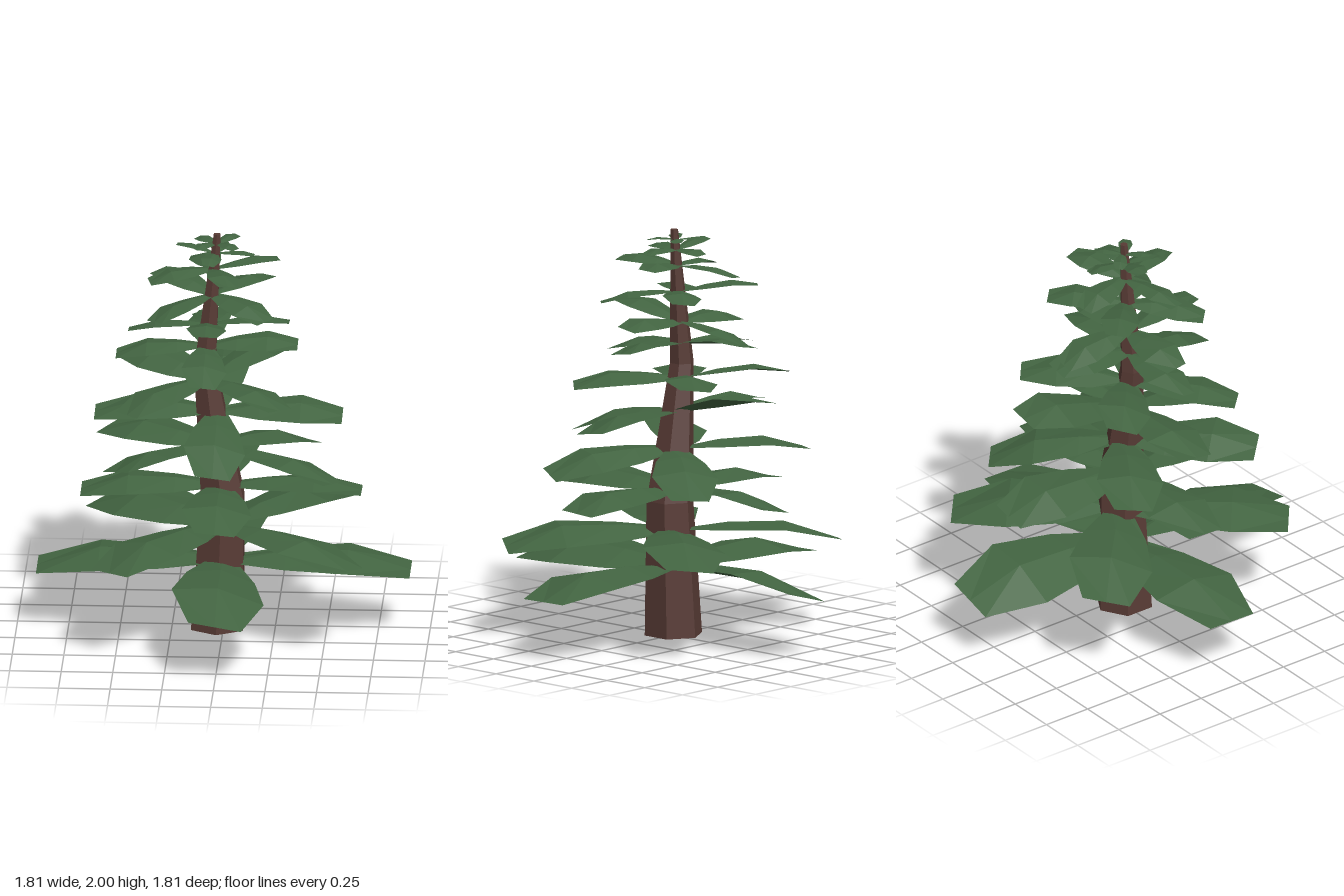
import * as THREE from 'three';

// Trunk rings from bottom to top: centre x, centre z, radius
const RINGS = [
  [-0.03, 0.02, 0.145],
  [-0.005, 0.02, 0.118],
  [-0.09, 0.02, 0.06],
  [-0.032, 0.016, 0.019],
];
const HEIGHT = 2;

function trunkAt(y) {
  const f = THREE.MathUtils.clamp((y / HEIGHT) * 3, 0, 3);
  const i = Math.min(2, Math.floor(f));
  return RINGS[i].map((v, k) => THREE.MathUtils.lerp(v, RINGS[i + 1][k], f - i));
}

// Tiers of four boughs: base height, first angle, reach, tip heights and rolls
// in the order +x, +z, -x, -z (turned by the first angle),
// then an optional sideways shift and extra turns
const TIERS = [
  [0.34, 0, 0.905, [0.30, 0.295, 0.295, 0.31], [-0.02, 0.17, 0.02, 0.28], 0.018],
  [0.52, 45, 0.815, [0.46, 0.47, 0.46, 0.48], [0.13, -0.05, 0.16, 0.1], 0, [-6, -6, -3, -4]],
  [0.72, 0, 0.68, [0.70, 0.69, 0.685, 0.705], [0.05, 0.1, 0.05, 0.22]],
  [0.92, 45, 0.65, [0.83, 0.925, 0.89, 0.79], [0.18, -0.22, 0.1, 0.05], 0, [-18, 1, -12, -4]],
  [1.10, 0, 0.60, [1.08, 0.95, 1.08, 1.23], [-0.15, 0.13, 0.12, 0.2], 0.035],
  [1.26, 45, 0.525, [1.225, 1.19, 1.28, 1.30], [0.1, 0, 0.22, 0.1], 0, [0, 0, -4, -5]],
  [1.43, 0, 0.44, [1.44, 1.355, 1.38, 1.47], [-0.15, 0.1, 0.08, 0.2]],
  [1.54, 0, 0.39, [1.555, 1.6, 1.505, 1.48], [0.15, 0.05, -0.15, 0.18]],
  [1.69, 44, 0.38, [1.64, 1.635, 1.72, 1.70], [-0.1, -0.1, 0.1, 0.1]],
  [1.82, -15, 0.32, [1.85, 1.83, 1.775, 1.79], [0.1, 0.1, 0.1, 0.15]],
  [1.90, 8, 0.19, [1.90, 1.895, 1.935, 1.90], [0.1, 0.15, -0.1, -0.1]],
  [1.95, 45, 0.14, [1.95, 1.95, 1.945, 1.96], [-0.1, 0.1, 0.15, -0.1]],
];

// Bough cross-sections: distance along, half width, arch, ridge (fractions of reach)
const SECTIONS = [
  [0, 0.06, 0, 0],
  [0.33, 0.185, 0.02, 0.045],
  [0.665, 0.25, 0.04, 0.05],
  [1, 0.143, 0, 0],
];

// Folded leaf pad: each cross-section has left edge, raised spine, right edge
function boughGeometry(baseY, angle, reach, tipY, roll) {
  const [cx, cz] = trunkAt(baseY);
  const c = Math.cos(angle), s = Math.sin(angle);
  const pos = [], index = [];
  SECTIONS.forEach(([t, w, arch, ridge], row) => {
    for (const side of [-1, 0, 1]) {
      const lateral = side * w * reach;
      const lift = (side === 0 ? arch + ridge : arch) * reach;
      const y = baseY + (tipY - baseY) * t + lift + lateral * Math.sin(roll);
      const d = t * reach, l = lateral * Math.cos(roll);
      pos.push(cx + c * d - s * l, y, cz - 0.01 + s * d + c * l);
    }
    if (row === 0) return;
    for (let k = 0; k < 2; k++) {
      const a = (row - 1) * 3 + k, b = a + 3;
      index.push(a, a + 1, b, a + 1, b + 1, b);
    }
  });
  const geo = new THREE.BufferGeometry();
  geo.setAttribute('position', new THREE.Float32BufferAttribute(pos, 3));
  geo.setIndex(index);
  geo.computeVertexNormals();
  return geo;
}

// Six-sided cylinder, bent and tapered ring by ring
function trunkGeometry() {
  const geo = new THREE.CylinderGeometry(1, 1, HEIGHT, 6, 3);
  geo.translate(0, HEIGHT / 2, 0);
  const p = geo.attributes.position;
  for (let i = 0; i < p.count; i++) {
    const [cx, cz, r] = trunkAt(p.getY(i));
    p.setXYZ(i, cx + p.getX(i) * r, p.getY(i), cz + p.getZ(i) * r);
  }
  geo.computeVertexNormals();
  return geo;
}

export function createModel() {
  const model = new THREE.Group();
  model.name = 'pineTree';
  const bark = new THREE.MeshStandardMaterial({ color: 0x583b35, flatShading: true });
  const needles = new THREE.MeshStandardMaterial({
    color: 0x426441, flatShading: true, side: THREE.DoubleSide,
  });

  const trunk = new THREE.Mesh(trunkGeometry(), bark);
  trunk.name = 'trunk';
  model.add(trunk);

  TIERS.forEach(([baseY, start, reach, tips, rolls, shift = 0, turns = [0, 0, 0, 0]], i) => {
    const tier = new THREE.Group();
    tier.name = `boughTier${i + 1}`;
    tier.position.x = shift;
    tips.forEach((tipY, k) => {
      const angle = THREE.MathUtils.degToRad(start + 90 * k + turns[k]);
      const bough = new THREE.Mesh(boughGeometry(baseY, angle, reach, tipY, rolls[k]), needles);
      bough.name = `bough${k + 1}`;
      tier.add(bough);
    });
    model.add(tier);
  });
  return model;
}
